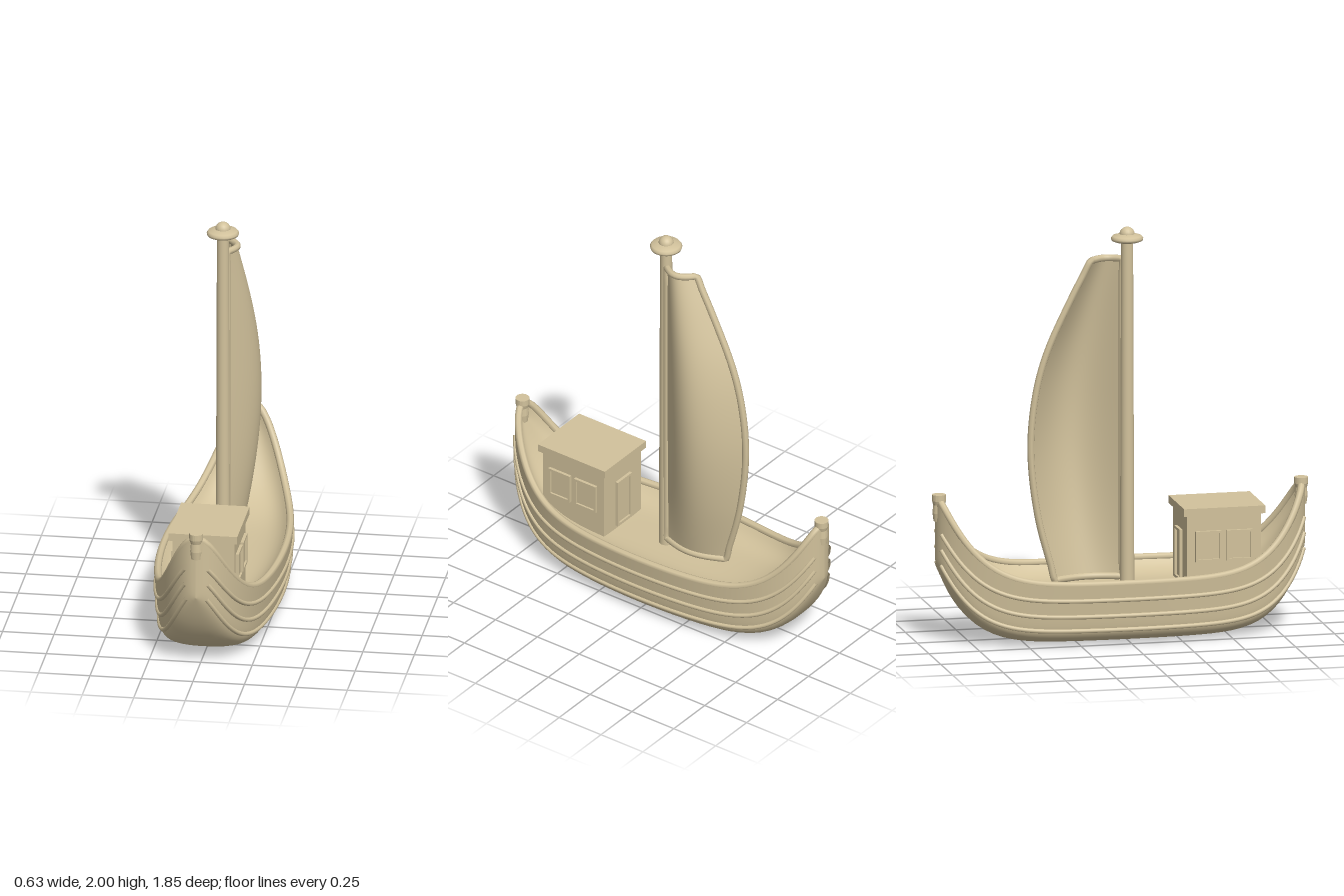
import * as THREE from 'three';
import { ParametricGeometry } from 'three/addons/geometries/ParametricGeometry.js';

const material = new THREE.MeshStandardMaterial({ color: 0xd2c29c, side: THREE.DoubleSide });

function add(parent, name, geometry, x = 0, y = 0, z = 0) {
  const mesh = new THREE.Mesh(geometry, material);
  mesh.name = name;
  mesh.position.set(x, y, z);
  parent.add(mesh);
  return mesh;
}

function surface(fn, slices, stacks) {
  const geometry = new ParametricGeometry(fn, slices, stacks);
  geometry.computeVertexNormals();
  return geometry;
}

function tube(points, radius, segments, closed = false) {
  const curve = new THREE.CatmullRomCurve3(points, closed, 'centripetal');
  return new THREE.TubeGeometry(curve, segments, radius, 8, closed);
}

// Hull lines: angle u runs from stern (-PI/2) to bow (PI/2)
const LENGTH = 0.91, BEAM = 0.31;
const rimY = u => 0.31 + 0.39 * Math.pow(Math.abs(Math.sin(u)), 5.5);
const keelY = u => 0.005 + 0.395 * Math.pow(Math.abs(Math.sin(u)), 6.5);
const fullness = v => 0.9 * Math.pow(1 - Math.pow(1 - v, 12), 0.4) + 0.1 * v;

function hullPoint(u, v, side, target = new THREE.Vector3()) {
  return target.set(
    side * BEAM * Math.cos(u) * fullness(v),
    THREE.MathUtils.lerp(keelY(u), rimY(u), v),
    LENGTH * Math.sin(u));
}

function buildHull() {
  const hull = new THREE.Group();
  hull.name = 'hull';

  add(hull, 'outerShell', surface((a, b, p) => {
    const s = b * 2 - 1;
    hullPoint((a - 0.5) * Math.PI, Math.pow(Math.abs(s), 2.5), Math.sign(s), p);
  }, 48, 40));

  // Shallow bowl-shaped deck
  add(hull, 'deck', surface((a, b, p) => {
    const u = (a - 0.5) * Math.PI, s = b * 2 - 1;
    p.set(s * 0.285 * Math.cos(u), rimY(u) - 0.07 * (1 - Math.pow(Math.abs(s), 5)),
      0.885 * Math.sin(u));
  }, 48, 24));

  // Rounded gunwale
  const rim = [];
  for (let i = 0; i < 64; i++) {
    const u = i / 64 * Math.PI * 2;
    rim.push(new THREE.Vector3(0.292 * Math.cos(u), rimY(u), 0.892 * Math.sin(u)));
  }
  add(hull, 'gunwale', tube(rim, 0.018, 128, true));

  // Strakes on both sides, at heights [midship, end]
  for (const side of [-1, 1]) {
    for (const [mid, end] of [[0.75, 0.6], [0.49, 0.35], [0.26, 0.1]]) {
      const points = [];
      for (let i = 0; i <= 32; i++) {
        const u = THREE.MathUtils.lerp(-1.38, 1.38, i / 32);
        const v = THREE.MathUtils.lerp(mid, end, Math.pow(Math.abs(Math.sin(u)), 5));
        points.push(hullPoint(u, v, side));
      }
      add(hull, 'strake', tube(points, 0.011, 72));
    }
  }

  // Stem and stern posts
  const profile = [[0, 0.6], [0.026, 0.6], [0.031, 0.64], [0.028, 0.68], [0.034, 0.7],
    [0.034, 0.73], [0, 0.73]].map(([r, y]) => new THREE.Vector2(r, y));
  for (const end of [-1, 1]) {
    const post = new THREE.LatheGeometry(profile, 20).toNonIndexed();
    post.computeVertexNormals();
    add(hull, end > 0 ? 'bowPost' : 'sternPost', post, 0, 0, end * 0.893);
  }
  return hull;
}

// Frame with a recessed panel, facing +z
function buildOpening(name, width, height) {
  const group = new THREE.Group();
  group.name = name;
  const rect = (path, w, h) => path.moveTo(-w / 2, -h / 2).lineTo(w / 2, -h / 2)
    .lineTo(w / 2, h / 2).lineTo(-w / 2, h / 2).closePath();
  const shape = rect(new THREE.Shape(), width, height);
  shape.holes.push(rect(new THREE.Path(), width - 0.024, height - 0.024));
  add(group, 'frame', new THREE.ExtrudeGeometry(shape, { depth: 0.015, bevelEnabled: false }));
  add(group, 'panel', new THREE.BoxGeometry(width - 0.024, height - 0.024, 0.006), 0, 0, 0.002);
  return group;
}

function buildCabin() {
  const cabin = new THREE.Group();
  cabin.name = 'cabin';
  add(cabin, 'walls', new THREE.BoxGeometry(0.3, 0.36, 0.365), 0, 0.42, 0.478);
  add(cabin, 'roof', new THREE.BoxGeometry(0.333, 0.038, 0.4), 0, 0.615, 0.478);
  for (const side of [-1, 1]) {
    for (const z of [0.4, 0.554]) {
      const window = buildOpening('window', 0.128, 0.15);
      window.position.set(side * 0.15, 0.445, z);
      window.rotation.y = side * Math.PI / 2;
      cabin.add(window);
    }
  }
  const door = buildOpening('door', 0.115, 0.25);
  door.position.set(0, 0.385, 0.2955);
  door.rotation.y = Math.PI;
  cabin.add(door);
  return cabin;
}

function buildMast() {
  const mast = new THREE.Group();
  mast.name = 'mast';
  mast.position.z = 0.035;
  add(mast, 'pole', new THREE.CylinderGeometry(0.029, 0.035, 1.71, 20), 0, 1.095, 0);
  const disc = [[0, 1.928], [0.06, 1.928], [0.075, 1.934], [0.078, 1.945], [0.07, 1.956],
    [0.035, 1.966], [0, 1.966]].map(([r, y]) => new THREE.Vector2(r, y));
  add(mast, 'mastCap', new THREE.LatheGeometry(disc, 28));
  add(mast, 'finial', new THREE.SphereGeometry(0.037, 20, 14), 0, 1.963, 0);
  return mast;
}

function buildSail() {
  const sail = new THREE.Group();
  sail.name = 'sail';
  const leech = new THREE.CatmullRomCurve3([[0.28, -0.32], [0.6, -0.405], [0.93, -0.44],
    [1.2, -0.415], [1.4, -0.36], [1.65, -0.245], [1.84, -0.145]]
    .map(([y, z]) => new THREE.Vector3(0, y, z)));

  // Billowed cloth: a runs from mast to free edge, b from foot to head
  const cloth = (a, b, p = new THREE.Vector3()) => {
    const edge = leech.getPointAt(b);
    const y = THREE.MathUtils.lerp(0.28 + 1.56 * b, edge.y, a);
    const belly = 0.045 + 0.095 * Math.sin(Math.PI * b);
    return p.set(0.02 * (1 - a) + belly * Math.sin(Math.PI * a), y,
      THREE.MathUtils.lerp(0.015, edge.z, a));
  };
  add(sail, 'cloth', surface((a, b, p) => { cloth(a, b, p); }, 24, 40));

  // Rope hem round all four edges
  const hem = [];
  const N = 20;
  for (let i = 0; i < N; i++) hem.push(cloth(i / N, 0));
  for (let i = 0; i < N; i++) hem.push(cloth(1, i / N));
  for (let i = 0; i < N; i++) hem.push(cloth(1 - i / N, 1));
  for (let i = 0; i < N; i++) hem.push(cloth(0, 1 - i / N));
  add(sail, 'hem', tube(hem, 0.017, 240, true));
  return sail;
}

export function createModel() {
  const boat = new THREE.Group();
  boat.name = 'sailingBoat';
  boat.add(buildHull(), buildCabin(), buildMast(), buildSail());
  return boat;
}
